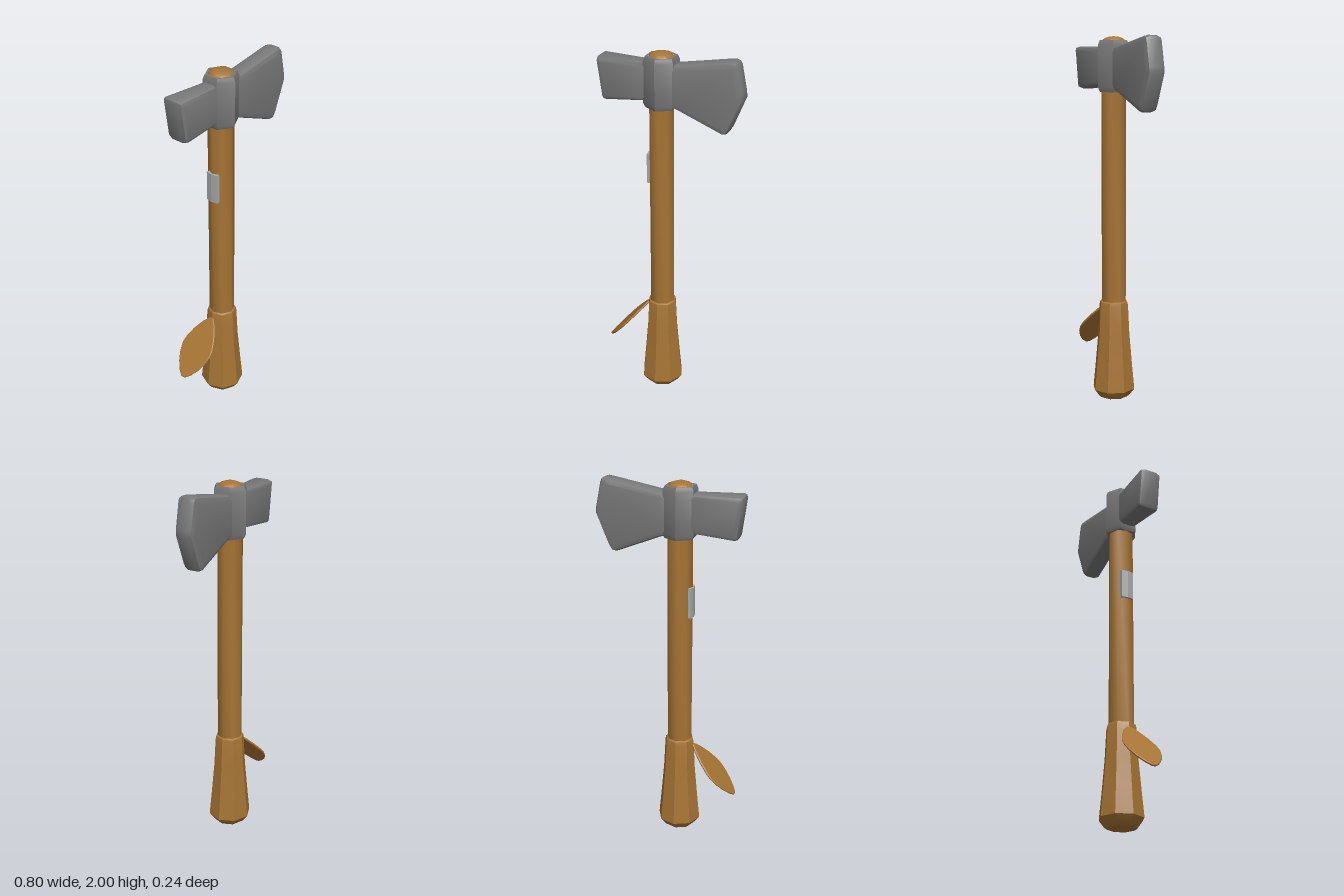
import * as THREE from 'three';
import { toCreasedNormals } from 'three/addons/utils/BufferGeometryUtils.js';

const AXIS_X = -0.056;

const material = (name, color) => {
  const m = new THREE.MeshStandardMaterial({ color });
  m.name = name;
  return m;
};

const points = (list) => list.map(([x, y]) => new THREE.Vector2(x, y));

export function createModel() {
  const group = new THREE.Group();
  const wood = material('wood', 0xa67434);
  const steel = material('steel', 0x787878);
  const paleSteel = material('paleSteel', 0xa8a8aa);

  const add = (name, geometry, mat, crease) => {
    const mesh = new THREE.Mesh(toCreasedNormals(geometry, crease), mat);
    mesh.name = name;
    group.add(mesh);
    return mesh;
  };

  // Faceted part turned around the handle axis; profile runs bottom to top
  const turned = (name, profile, sides, mat, crease) => {
    const mesh = add(name, new THREE.LatheGeometry(points(profile), sides), mat, crease);
    mesh.position.x = AXIS_X;
  };

  // Bevelled slab whose outline is its outermost edge; halfAt(x) sets the thickness
  const slab = (name, outline, bevel, halfAt) => {
    const g = new THREE.ExtrudeGeometry(new THREE.Shape(points(outline)), {
      depth: 1, bevelEnabled: true, bevelSize: bevel, bevelOffset: -bevel,
      bevelThickness: 0.5, bevelSegments: 2,
    });
    g.translate(0, 0, -0.5);
    const p = g.attributes.position;
    for (let i = 0; i < p.count; i++) p.setZ(i, p.getZ(i) * halfAt(p.getX(i)) - 0.002);
    add(name, g, steel, 0.7);
  };

  // Handle
  turned('shaft', [[0.069, 0.5], [0.069, 1.75]], 8, wood, 0.85);
  turned('grip', [
    [0, 0], [0.078, 0.003], [0.09, 0.012], [0.119, 0.05], [0.118, 0.065],
    [0.105, 0.2], [0.09, 0.37], [0.082, 0.53], [0.078, 0.548], [0.066, 0.556],
  ], 8, wood, 0.6);
  turned('handleTop', [
    [0.068, 1.95], [0.066, 1.978], [0.05, 1.99], [0.025, 1.998], [0, 2],
  ], 8, wood, 0.85);

  // Axe head
  turned('collar', [
    [0.066, 1.705], [0.084, 1.705], [0.095, 1.728], [0.095, 1.955],
    [0.084, 1.978], [0.066, 1.978],
  ], 6, steel, 0.5);
  slab('blade', [
    [-0.03, 1.725], [0.04, 1.708], [0.285, 1.61], [0.31, 1.616], [0.328, 1.645],
    [0.395, 1.81], [0.393, 1.84], [0.366, 1.975], [0.357, 1.993], [0.335, 2],
    [0.3, 1.995], [0.04, 1.947], [-0.03, 1.935],
  ], 0.03, () => 0.052);
  slab('hammer', [
    [-0.08, 1.74], [-0.08, 1.942], [-0.385, 1.949], [-0.397, 1.942], [-0.4, 1.925],
    [-0.374, 1.735], [-0.366, 1.72], [-0.347, 1.716],
  ], 0.026, (x) => THREE.MathUtils.mapLinear(
    THREE.MathUtils.clamp(x, -0.37, -0.14), -0.14, -0.37, 0.05, 0.067));

  // Bent metal plate on the side of the shaft
  const plateShape = new THREE.Shape(points([
    [-0.105, -0.036], [-0.105, 0.036], [-0.128, 0.036], [-0.134, 0], [-0.128, -0.036],
  ]));
  const plate = new THREE.ExtrudeGeometry(plateShape, { depth: 0.165, bevelEnabled: false });
  plate.rotateX(-Math.PI / 2);
  plate.translate(0, 1.275, 0);
  add('sidePlate', plate, paleSteel, 0.2);

  // Leaf hanging from the top of the grip
  const half = [[0, 0.012], [0.04, 0.045], [0.1, 0.078], [0.16, 0.1], [0.2, 0.105],
    [0.25, 0.094], [0.3, 0.072], [0.345, 0.04], [0.37, 0.012]];
  const leafShape = new THREE.Shape(points([
    ...half.map(([u, v]) => [u, -v]),
    ...half.slice().reverse(),
  ]));
  const leaf = new THREE.ExtrudeGeometry(leafShape, {
    depth: 0.004, bevelEnabled: true, bevelSize: 0.004, bevelOffset: -0.004,
    bevelThickness: 0.004, bevelSegments: 1,
  });
  const along = new THREE.Vector3(-0.25, -0.285, 0).normalize();
  const across = new THREE.Vector3(0, 0, 1);
  leaf.applyMatrix4(new THREE.Matrix4().makeBasis(
    along, across, along.clone().cross(across)));
  leaf.translate(-0.134, 0.515, -0.002);
  add('leaf', leaf, wood, 0.6);

  return group;
}
